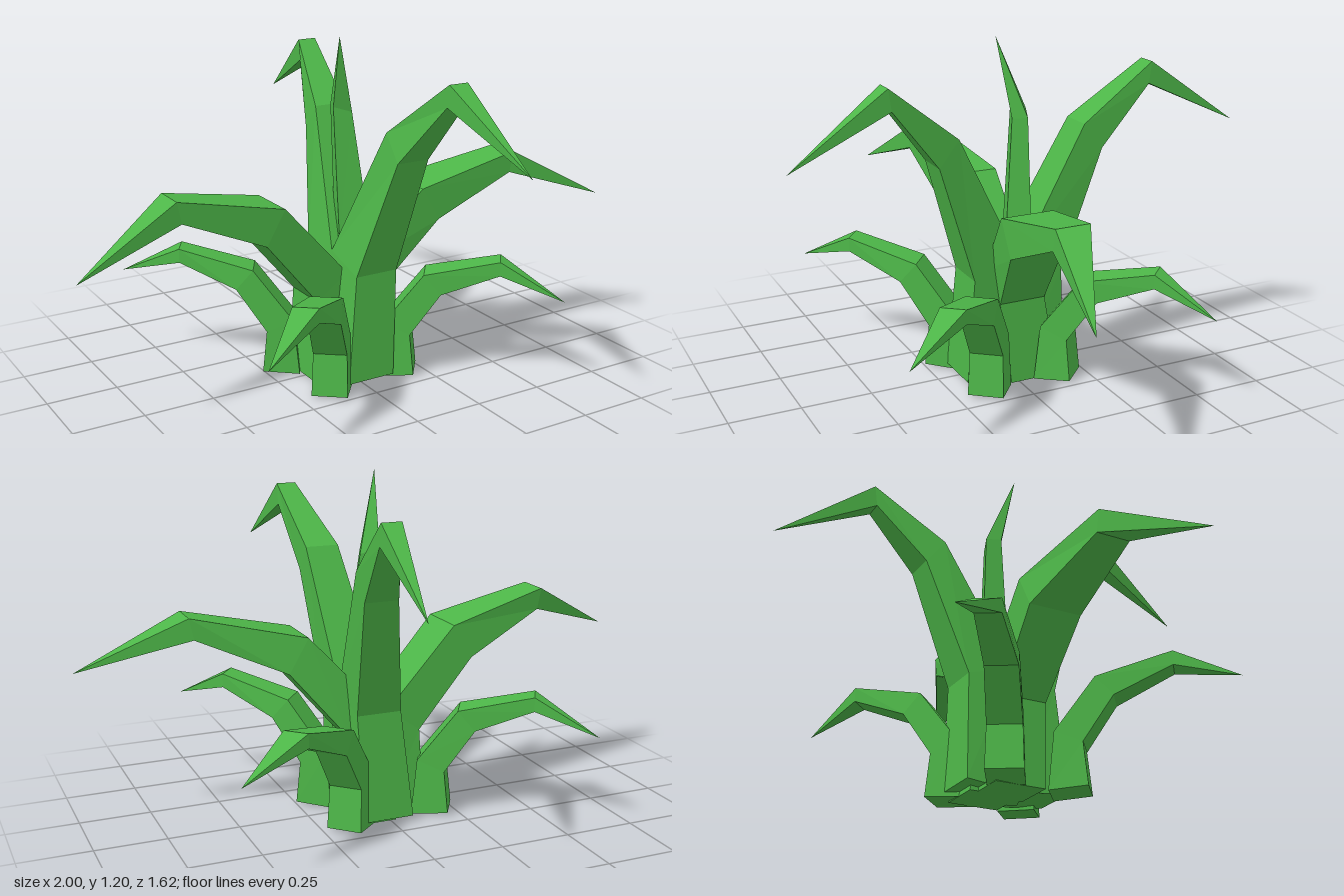
import * as THREE from 'three';

const material = new THREE.MeshStandardMaterial({ color: 0x4db648, flatShading: true });

// A leaf is a chain of four-cornered rings ending in a point.
// ring: [outer reach, outer height, inner reach, inner height, sideways shift, half width]
// tip: [reach, height, sideways shift]; angle is the heading in degrees, from +x towards +z.
function makeLeaf(name, angle, rings, tip) {
  const t = THREE.MathUtils.degToRad(angle);
  const c = Math.cos(t), s = Math.sin(t);
  const at = (r, y, v) => [r * c - v * s, y, r * s + v * c];
  const loops = rings.map(([ro, yo, ri, yi, v, h]) => [
    at(ro, yo, v + h), at(ro, yo, v - h), at(ri, yi, v - h), at(ri, yi, v + h),
  ]);
  const end = at(...tip);
  const pos = [];
  const tri = (...p) => p.forEach((q) => pos.push(...q));

  // base cap
  const [a, b, d, e] = loops[0];
  tri(a, d, b);
  tri(a, e, d);
  // sides and pointed end
  loops.forEach((lo, k) => {
    const hi = loops[k + 1];
    for (let i = 0; i < 4; i++) {
      const j = (i + 1) % 4;
      if (hi) {
        tri(lo[i], lo[j], hi[j]);
        tri(lo[i], hi[j], hi[i]);
      } else {
        tri(lo[i], lo[j], end);
      }
    }
  });

  const geometry = new THREE.BufferGeometry();
  geometry.setAttribute('position', new THREE.Float32BufferAttribute(pos, 3));
  geometry.computeVertexNormals();
  const mesh = new THREE.Mesh(geometry, material);
  mesh.name = name;
  return mesh;
}

// Adds sideways shifts and half widths to a profile of [ro, yo, ri, yi]
const bend = (profile, shifts, widths) => profile.map((p, i) => [...p, shifts[i], widths[i]]);

export function createModel() {
  const plant = new THREE.Group();
  plant.name = 'leafyPlant';

  // wide arching leaves to the sides
  const wide = [[0.14, 0, -0.02, 0], [0.13, 0.3, 0.01, 0.385], [0.33, 0.54, 0.26, 0.66], [0.63, 0.67, 0.645, 0.745]];
  const wideHalf = [0.09, 0.085, 0.095, 0.06];
  plant.add(makeLeaf('leftWideLeaf', 0, bend(wide, [-0.06, -0.015, 0.035, 0.08], wideHalf), [1, 0.55, 0.2]));
  plant.add(makeLeaf('rightWideLeaf', 180, bend(wide, [0.03, 0.015, 0.005, -0.03], wideHalf), [1, 0.55, -0.13]));

  // tall leaves at front and back, both leaning to +x
  const tall = [[0.185, 0.02, 0, 0], [0.165, 0.4, 0, 0.45], [0.3, 0.82, 0.23, 0.91], [0.465, 1.03, 0.475, 1.105]];
  for (const [name, angle, side] of [['frontTallLeaf', 90, -1], ['backTallLeaf', -90, 1]]) {
    const shifts = [0.02, 0.05, 0.1, 0.145].map((x) => x * side);
    plant.add(makeLeaf(name, angle, bend(tall, shifts, [0.09, 0.08, 0.06, 0.035]), [0.81, 0.87, 0.18 * side]));
  }

  // short drooping leaves on the diagonals
  const short = [[0.27, 0.01, 0.14, 0], [0.255, 0.16, 0.16, 0.2], [0.36, 0.315, 0.3, 0.385], [0.56, 0.4, 0.56, 0.45]];
  const shortRings = bend(short, [0, 0, 0.005, 0.035], [0.062, 0.058, 0.055, 0.043]);
  const headings = { frontLeft: 38, frontRight: 128, backRight: 211, backLeft: -45 };
  for (const [name, angle] of Object.entries(headings)) {
    plant.add(makeLeaf(name + 'ShortLeaf', angle, shortRings, [0.78, 0.33, 0.115]));
  }

  // upright shoot in the middle
  plant.add(makeLeaf('centreShoot', 20, [
    [0.08, 0, -0.06, 0, -0.02, 0.06],
    [0.11, 0.5, 0.0, 0.5, -0.045, 0.045],
    [0.05, 0.93, -0.015, 0.95, -0.055, 0.027],
  ], [-0.003, 1.2, 0.022]));

  return plant;
}
